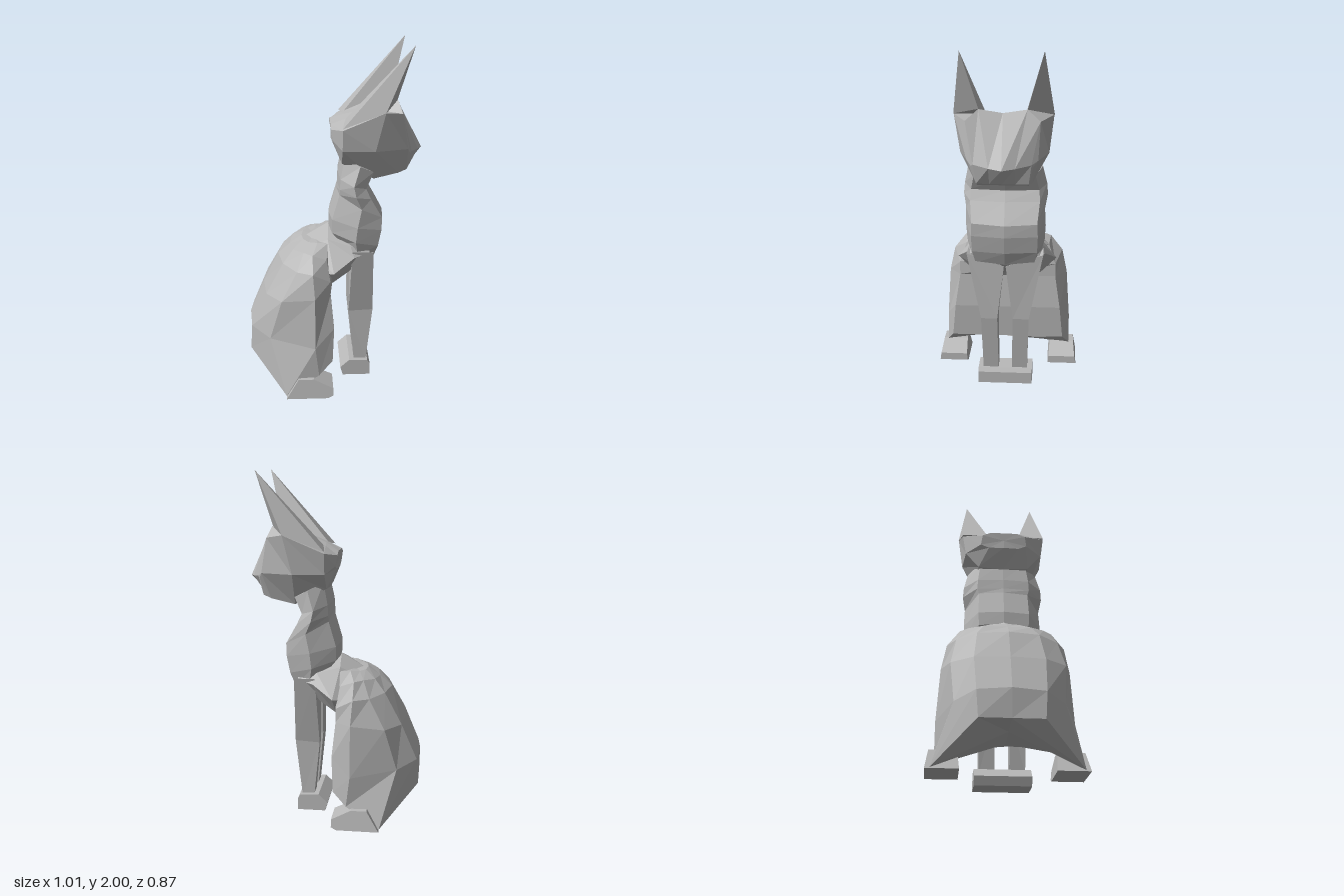
import * as THREE from 'three';

// Skin a list of rings (arrays of [x, y, z]) and close both ends; faces always point outward.
function loft(rings) {
  const tris = [];
  const n = rings[0].length;
  for (let r = 0; r < rings.length - 1; r++) {
    for (let i = 0; i < n; i++) {
      const j = (i + 1) % n;
      const a = rings[r][i], b = rings[r][j], c = rings[r + 1][j], d = rings[r + 1][i];
      tris.push([a, b, c], [a, c, d]);
    }
  }
  const cap = (ring, flip) => {
    const mid = [0, 1, 2].map(k => ring.reduce((s, p) => s + p[k], 0) / n);
    ring.forEach((p, i) => {
      const q = ring[(i + 1) % n];
      tris.push(flip ? [mid, q, p] : [mid, p, q]);
    });
  };
  cap(rings[0], true);
  cap(rings[rings.length - 1], false);

  const [A, B, C] = [0, 1, 2].map(() => new THREE.Vector3());
  let volume = 0;
  for (const t of tris) {
    volume += A.fromArray(t[0]).dot(B.fromArray(t[1]).cross(C.fromArray(t[2])));
  }
  if (volume < 0) tris.forEach(t => t.reverse());
  // Drop the empty faces where rings share points
  const solid = tris.filter(t => {
    A.fromArray(t[0]);
    return B.fromArray(t[1]).sub(A).cross(C.fromArray(t[2]).sub(A)).length() > 1e-8;
  });
  const geo = new THREE.BufferGeometry();
  geo.setAttribute('position', new THREE.Float32BufferAttribute(solid.flat(2), 3));
  geo.computeVertexNormals();
  return geo;
}

// Complete a half ring (centre line to centre line) by mirroring it in z.
const whole = half => [...half, ...half.slice(1, -1).reverse().map(([x, y, z]) => [x, y, -z])];
const mirrored = (rings, side) => rings.map(r => r.map(([x, y, z]) => [x, y, z * side]));

export function createModel() {
  const model = new THREE.Group();
  const cat = new THREE.Group();
  cat.name = 'seatedCat';
  cat.position.z = .01;
  cat.rotation.y = -.05; // sits turned slightly off the x axis
  model.add(cat);

  const grey = new THREE.MeshStandardMaterial({ color: 0xb8b8b8, flatShading: true });
  grey.name = 'stone grey';
  const add = (name, rings) => {
    const mesh = new THREE.Mesh(loft(rings), grey);
    mesh.name = name;
    cat.add(mesh);
  };

  // Haunches: a raised ridge underneath, then rings from the heels up to the back
  add('haunches', [
    [[-.5, .21, 0], [-.49, .21, 0], [-.3, .2, 0], [-.1, .19, 0], [-.02, .2, 0], [-.01, .2, 0]],
    [[-.5, .21, 0], [-.5, .21, .17], [-.29, .01, .4], [-.1, .13, .38], [-.02, .2, .34], [-.02, .2, 0]],
    [[-.505, .37, 0], [-.49, .36, .18], [-.38, .33, .29], [-.12, .3, .38], [-.01, .4, .32], [-.01, .4, 0]],
    [[-.42, .57, 0], [-.4, .57, .19], [-.31, .57, .31], [-.12, .6, .36], [-.03, .6, .29], [-.03, .6, 0]],
    [[-.33, .75, 0], [-.3, .75, .17], [-.22, .74, .28], [-.13, .74, .33], [-.03, .68, .29], [.01, .67, 0]],
    [[-.26, .81, 0], [-.24, .82, .13], [-.18, .83, .21], [-.13, .83, .26], [-.05, .8, .25], [.03, .75, 0]],
    [[-.19, .86, 0], [-.18, .86, .07], [-.15, .86, .12], [-.1, .87, .16], [-.04, .87, .17], [0, .87, 0]],
  ].map(whole));

  // Torso bridging the haunches and the chest
  add('torso', [
    [[-.18, .85, 0], [-.16, .83, .12], [-.16, .7, .2], [-.15, .6, .15], [-.15, .6, 0]],
    [[-.03, .94, 0], [-.04, .89, .16], [-.01, .73, .295], [-.02, .63, .2], [-.02, .62, 0]],
    [[.09, .92, 0], [.09, .86, .2], [.11, .8, .23], [.08, .69, .17], [.08, .69, 0]],
    [[.2, .9, 0], [.2, .84, .18], [.2, .82, .2], [.2, .78, .12], [.2, .77, 0]],
  ].map(whole));

  // Chest and neck: tilted rings given as back x, y, front x, y, half width
  add('chestAndNeck', [
    [.03, .86, .23, .77, .205],
    [-.03, .93, .265, .85, .225],
    [-.03, 1.01, .285, .95, .23],
    [.015, 1.16, .285, 1.02, .225],
    [.02, 1.19, .215, 1.14, .24],
    [.025, 1.25, .185, 1.2, .235],
    [.05, 1.38, .23, 1.29, .21],
  ].map(([bx, by, fx, fy, w]) => whole([0, .05, .5, .94, 1].map((t, i) => [
    bx + (fx - bx) * t, by + (fy - by) * t, w * [0, .65, 1, .82, 0][i],
  ]))));

  // Head: rings from the nape to the lip, then down to the chin
  const chin = [.41, 1.3, 0];
  const jaw = [.405, 1.3, .14];
  add('head', [
    [[-.02, 1.55, 0], [-.02, 1.55, .08], [-.02, 1.53, .13], [-.01, 1.47, .14], [-.01, 1.45, .09], [-.015, 1.45, 0]],
    [[.06, 1.59, 0], [.05, 1.58, .1], [.04, 1.55, .25], [.04, 1.43, .23], [.04, 1.34, .15], [.04, 1.33, 0]],
    [[.21, 1.64, 0], [.2, 1.64, .11], [.27, 1.65, .27], [.22, 1.43, .245], [.22, 1.25, .15], [.22, 1.24, 0]],
    [[.35, 1.67, 0], [.35, 1.69, .13], [.37, 1.63, .2], [.405, 1.43, .19], [.36, 1.28, .14], [.36, 1.28, 0]],
    [[.505, 1.395, 0], [.475, 1.4, .07], [.43, 1.41, .155], [.42, 1.4, .165], jaw, chin],
    [chin, [.408, 1.3, .07], jaw, jaw, jaw, chin],
  ].map(whole));

  for (const [label, side] of [['left', -1], ['right', 1]]) {
    // Tall pointed ears
    const tip = [.425, 2, .217];
    add(label + 'Ear', mirrored([
      [[.04, 1.56, .25], [.27, 1.65, .272], [.345, 1.69, .13], [.06, 1.58, .1]],
      [tip, tip, tip, tip],
    ], side));

    // Front legs taper down from the shoulders
    add(label + 'FrontLeg', mirrored([
      [[.1, .83, .22], [.22, .83, .22], [.23, .76, .005], [.09, .7, .03]],
      [[.085, .42, .135], [.228, .43, .14], [.228, .43, .045], [.09, .42, .045]],
      [[.12, .08, .13], [.19, .08, .13], [.19, .08, .04], [.12, .08, .04]],
    ], side));

    // Hind paws: side profile swept across the width, narrower on top
    const outline = [[-.29, .005], [-.22, .12], [-.13, .12], [-.02, .065], [-.02, .02], [-.05, .005]];
    add(label + 'HindPaw', mirrored([
      outline.map(([x, y]) => [x, y, .25 + y * .1]),
      outline.map(([x, y]) => [x, y, .428 - y * .15]),
    ], side));
  }

  // Joined front paws
  const paw = [[.05, 0], [.035, .05], [.09, .1], [.2, .095], [.215, .07], [.215, 0]];
  add('frontPaws', [-.16, .16].map(z => paw.map(([x, y]) => [x, y, z])));

  return model;
}
